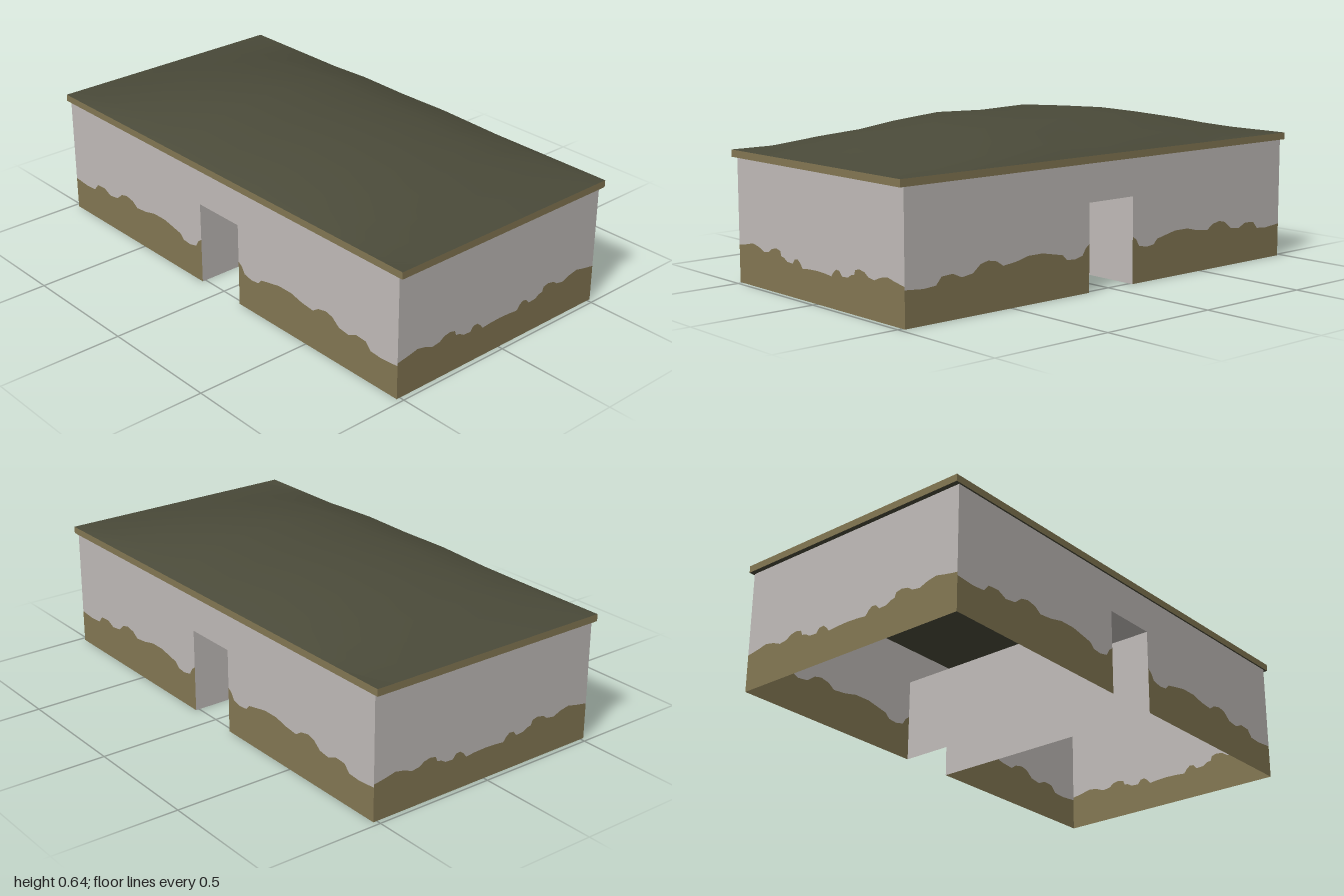
import * as THREE from 'three';

const W = 0.98, D = 0.515, EAVE = 0.487, DOOR_W = 0.115, DOOR_H = 0.34;

// Upper edge of the mud splash, measured outward from the middle of each wall
const LONG_MUD = [[0.115, 0.185], [0.135, 0.17], [0.15, 0.145], [0.19, 0.136], [0.23, 0.14], [0.25, 0.16],
  [0.29, 0.168], [0.35, 0.18], [0.42, 0.18], [0.48, 0.166], [0.54, 0.16], [0.57, 0.18], [0.61, 0.188],
  [0.645, 0.18], [0.68, 0.152], [0.73, 0.145], [0.77, 0.163], [0.82, 0.16], [0.845, 0.132], [0.9, 0.128], [W, 0.135]];
const SIDE_MUD = [[0, 0.123], [0.05, 0.121], [0.09, 0.117], [0.105, 0.135], [0.12, 0.146], [0.14, 0.144],
  [0.155, 0.126], [0.19, 0.128], [0.21, 0.14], [0.228, 0.143], [0.235, 0.162], [0.26, 0.168], [0.29, 0.162],
  [0.31, 0.148], [0.345, 0.143], [0.38, 0.157], [0.42, 0.165], [0.46, 0.156], [0.5, 0.149], [D, 0.147]];

const shapeOf = (pts) => new THREE.Shape(pts.map(([x, y]) => new THREE.Vector2(x, y)));
const mirror = (pts) => pts.map(([x, y]) => [-x, y]).reverse();

export function createModel() {
  const model = new THREE.Group();
  model.name = 'building';
  const material = (name, color, side) => {
    const m = new THREE.MeshStandardMaterial({ color, side });
    m.name = name;
    return m;
  };
  const plaster = material('grey plaster', 0xc0bbb8, THREE.DoubleSide);
  const mud = material('mud brown', 0x837753, THREE.DoubleSide);
  const roofGreen = material('dark olive roof', 0x4a4a39, THREE.DoubleSide);

  const add = (parent, name, geometry, mat) => {
    const mesh = new THREE.Mesh(geometry, mat);
    mesh.name = name;
    parent.add(mesh);
    return mesh;
  };

  // One thin wall: mud below the ragged line, plaster above it, with an optional doorway
  function wall(name, edge, half, hasDoor) {
    const group = new THREE.Group();
    group.name = name;
    const left = mirror(edge);
    const door = hasDoor ? [[-DOOR_W, DOOR_H], [DOOR_W, DOOR_H]] : [];
    const right = hasDoor ? edge : edge.slice(1);
    const upper = [...left, ...door, ...right, [half, EAVE], [-half, EAVE]];
    add(group, 'plasterFace', new THREE.ShapeGeometry(shapeOf(upper)), plaster);
    const inner = edge[0][0];
    const lower = hasDoor
      ? [shapeOf([[inner, 0], [half, 0], ...[...edge].reverse()]),
        shapeOf([[-half, 0], [-inner, 0], ...[...left].reverse()])]
      : [shapeOf([[-half, 0], [half, 0], ...[...left, ...right].reverse()])];
    add(group, 'mudFace', new THREE.ShapeGeometry(lower), mud);
    model.add(group);
    return group;
  }

  // Outer walls
  for (const s of [1, -1]) {
    const long = wall(s > 0 ? 'frontWall' : 'backWall', LONG_MUD, W, true);
    long.position.z = s * D;
    long.rotation.y = s > 0 ? 0 : Math.PI;
    const end = wall(s > 0 ? 'leftWall' : 'rightWall', SIDE_MUD, D, false);
    end.position.x = s * W;
    end.rotation.y = s * Math.PI / 2;

    // Passage side walls
    const side = add(model, s > 0 ? 'passageLeft' : 'passageRight', new THREE.PlaneGeometry(2 * D, DOOR_H), plaster);
    side.position.set(s * DOOR_W, DOOR_H / 2, 0);
    side.rotation.y = -s * Math.PI / 2;
  }

  // Passage ceiling
  const ceiling = add(model, 'passageCeiling', new THREE.PlaneGeometry(2 * DOOR_W, 2 * D), plaster);
  ceiling.position.y = DOOR_H;
  ceiling.rotation.x = Math.PI / 2;

  // Eave slab with brown edges and a dark underside
  const slab = add(model, 'eaves', new THREE.BoxGeometry(2, 0.028, 1.044),
    [mud, mud, roofGreen, roofGreen, mud, mud]);
  slab.position.y = EAVE + 0.014;

  // Softly domed roof: a grid raised by the product of two profiles
  const xs = [0, 0.23, 0.45, 0.65, 0.82, 1], hx = [0.94, 1, 0.83, 0.58, 0.28, 0];
  const zs = [0, 0.235, 0.45, 0.522], hz = [1, 0.9, 0.41, 0];
  const roof = new THREE.PlaneGeometry(2, 1, 2 * (xs.length - 1), 2 * (zs.length - 1)).rotateX(-Math.PI / 2);
  const pos = roof.attributes.position;
  const cols = 2 * xs.length - 1;
  for (let i = 0; i < pos.count; i++) {
    const c = (i % cols) - (xs.length - 1);
    const r = Math.floor(i / cols) - (zs.length - 1);
    const a = Math.abs(c), b = Math.abs(r);
    pos.setXYZ(i, Math.sign(c) * xs[a], 0.515 + 0.124 * hx[a] * hz[b], Math.sign(r) * zs[b]);
  }
  roof.computeVertexNormals();
  add(model, 'roof', roof, roofGreen);

  return model;
}
